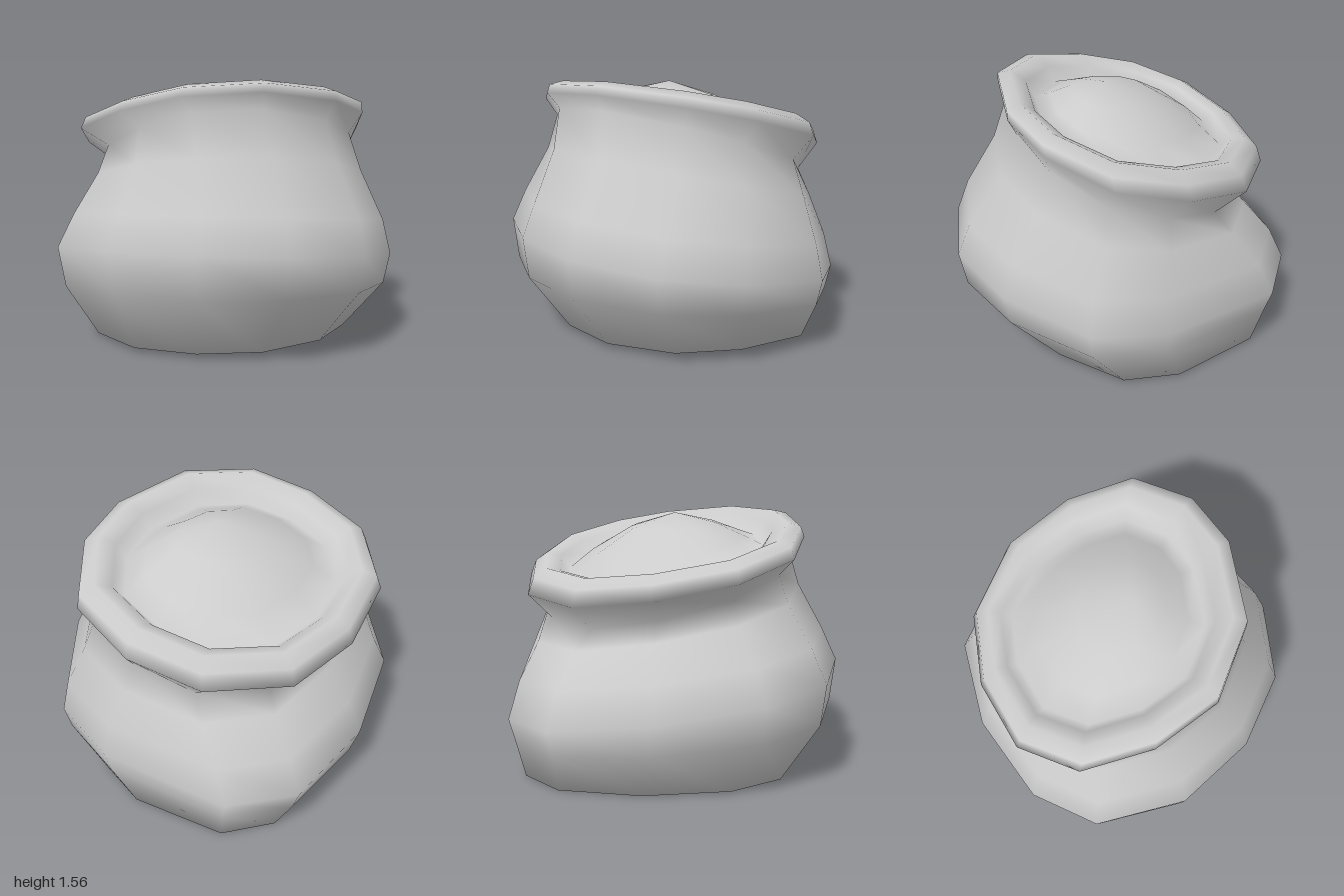
import * as THREE from 'three';
import { mergeVertices } from 'three/addons/utils/BufferGeometryUtils.js';

// Uneven 12-sided outlines, scaled to -1..1 in x and z
const BELLY = [[0.18, -1], [0.61, -0.87], [0.91, -0.41], [1, 0.06], [0.82, 0.54], [0.44, 0.85],
  [-0.06, 1], [-0.6, 0.89], [-0.88, 0.55], [-1, -0.04], [-0.91, -0.62], [-0.6, -0.91]];
const MOUTH = [[0.15, -1], [0.66, -0.89], [0.95, -0.49], [1, -0.04], [0.81, 0.55], [0.39, 0.92],
  [-0.11, 1], [-0.62, 0.9], [-0.94, 0.55], [-1, 0.01], [-0.85, -0.51], [-0.39, -0.9]];
const SIDES = BELLY.length;

// Each ring: xMin, xMax, zMin, zMax, height, tilt along x, tilt along z, blend belly -> mouth
function loft(name, rings, material) {
  const positions = [], index = [];
  rings.forEach(([x0, x1, z0, z1, h, tiltX, tiltZ, blend]) => {
    for (let i = 0; i < SIDES; i++) {
      const u = THREE.MathUtils.lerp(BELLY[i][0], MOUTH[i][0], blend);
      const v = THREE.MathUtils.lerp(BELLY[i][1], MOUTH[i][1], blend);
      const x = (x0 + x1) / 2 + u * (x1 - x0) / 2;
      const z = (z0 + z1) / 2 + v * (z1 - z0) / 2;
      positions.push(x, h + tiltX * x + tiltZ * z, z);
    }
  });
  for (let r = 0; r < rings.length - 1; r++) {
    for (let i = 0; i < SIDES; i++) {
      const j = (i + 1) % SIDES;
      const a = r * SIDES + i, b = r * SIDES + j, c = a + SIDES, d = b + SIDES;
      index.push(a, c, d, a, d, b);
    }
  }
  let geometry = new THREE.BufferGeometry();
  geometry.setAttribute('position', new THREE.Float32BufferAttribute(positions, 3));
  geometry.setIndex(index);
  geometry = mergeVertices(geometry);
  geometry.computeVertexNormals();
  const mesh = new THREE.Mesh(geometry, material);
  mesh.name = name;
  return mesh;
}

export function createModel() {
  const group = new THREE.Group();
  group.name = 'sack';
  const material = new THREE.MeshStandardMaterial({ color: 0xcccccc, side: THREE.DoubleSide });

  // One continuous skin: base, sagging belly, neck, rolled rim, domed filling
  group.add(loft('clothAndFilling', [
    // base and belly
    [-0.08, -0.08, -0.08, -0.08, 0.02, 0, 0, 0],
    [-0.82, 0.65, -0.91, 0.74, 0.02, 0.015, 0.01, 0],
    [-0.95, 0.96, -0.97, 0.97, 0.325, 0.06, 0.07, 0],
    [-1, 1, -1, 1, 0.52, 0.07, 0.125, 0],
    [-0.91, 0.93, -0.95, 0.91, 0.72, 0.08, 0.13, 0.15],
    // shoulder and neck
    [-0.76, 0.74, -0.86, 0.76, 0.98, 0.17, 0.18, 0.6],
    [-0.68, 0.64, -0.79, 0.7, 1.165, 0.3, 0.24, 1],
    // rolled rim
    [-0.89, 0.7, -0.91, 0.78, 1.3, 0.235, 0.175, 1],
    [-0.86, 0.7, -0.88, 0.76, 1.365, 0.22, 0.16, 1],
    [-0.78, 0.62, -0.8, 0.68, 1.403, 0.225, 0.155, 1],
    [-0.71, 0.53, -0.71, 0.59, 1.365, 0.22, 0.15, 1],
    // filling
    [-0.65, 0.48, -0.65, 0.54, 1.29, 0.2, 0.15, 1],
    [-0.51, 0.38, -0.51, 0.42, 1.365, 0.16, 0.12, 1],
    [-0.27, 0.25, -0.27, 0.25, 1.46, 0.1, 0.06, 1],
    [0.05, 0.05, 0, 0, 1.53, 0, 0, 1],
  ], material));

  return group;
}
